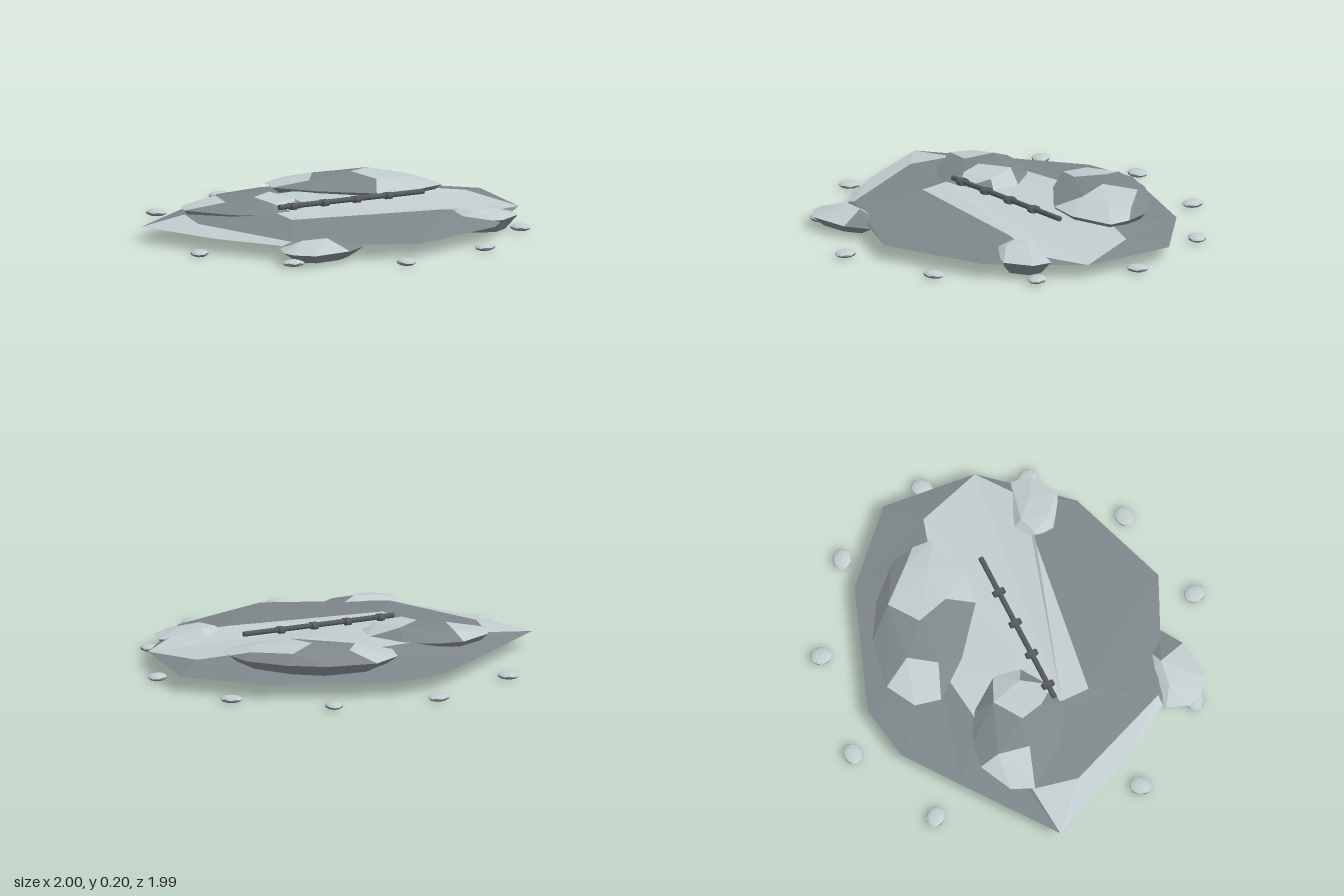
import * as THREE from 'three';
import { ConvexGeometry } from 'three/addons/geometries/ConvexGeometry.js';

function flat(name, color) {
  const material = new THREE.MeshStandardMaterial({ color });
  material.name = name;
  return material;
}
const stone = flat('dark stone', 0x7f878b);
const pale = flat('pale stone', 0xc2cdd0);
const iron = flat('dark iron', 0x565b5e);

// Is the point (x, z) inside the polygon?
function inside(x, z, polygon) {
  let hit = false;
  polygon.forEach(([ax, az], i) => {
    const [bx, bz] = polygon[(i + 1) % polygon.length];
    if (az > z !== bz > z && x < ax + ((bx - ax) * (z - az)) / (bz - az)) hit = !hit;
  });
  return hit;
}

// Gives each triangle of an unindexed geometry dark or pale stone by its centre and normal.
function paintFaces(geometry, isPale) {
  geometry.clearGroups();
  const p = geometry.attributes.position;
  const tri = new THREE.Triangle();
  const centre = new THREE.Vector3();
  const normal = new THREE.Vector3();
  for (let i = 0; i < p.count; i += 3) {
    tri.setFromAttributeAndIndices(p, i, i + 1, i + 2);
    tri.getMidpoint(centre);
    tri.getNormal(normal);
    geometry.addGroup(i, 3, isPale(centre, normal) ? 1 : 0);
  }
  return geometry;
}

// Faceted rock: an outline [x, z] at rim height, crown points [x, y, z], a shrunken base
// and the regions of its upper side that are pale.
function rock(name, outline, rimY, crown, baseY, baseScale, paleRegions) {
  const cx = outline.reduce((s, p) => s + p[0], 0) / outline.length;
  const cz = outline.reduce((s, p) => s + p[1], 0) / outline.length;
  const points = crown.map((p) => new THREE.Vector3(...p));
  for (const [x, z] of outline) {
    points.push(new THREE.Vector3(x, rimY, z));
    points.push(new THREE.Vector3(cx + (x - cx) * baseScale, baseY, cz + (z - cz) * baseScale));
  }
  const geometry = paintFaces(new ConvexGeometry(points),
    (c, n) => n.y > 0 && paleRegions.some((region) => inside(c.x, c.z, region)));
  const mesh = new THREE.Mesh(geometry, [stone, pale]);
  mesh.name = name;
  return mesh;
}

// Flat-shaded mesh from polygons, each cut into a fan from its first corner
function facets(name, polygons, material) {
  const corners = [];
  for (const polygon of polygons) {
    for (let i = 1; i < polygon.length - 1; i++) corners.push(...polygon[0], ...polygon[i], ...polygon[i + 1]);
  }
  const geometry = new THREE.BufferGeometry();
  geometry.setAttribute('position', new THREE.Float32BufferAttribute(corners, 3));
  geometry.computeVertexNormals();
  const mesh = new THREE.Mesh(geometry, material);
  mesh.name = name;
  return mesh;
}

// Broad slab: rim R, upper ridge points P, shrunken base B
function createSlab() {
  const R = [
    [0, -0.79], [-0.28, -0.745], [-0.56, -0.545], [-1, -0.225], [-0.82, 0.22], [-0.62, 0.53],
    [0, 0.815], [0.53, 0.63], [0.88, 0.24], [0.93, -0.24], [0.61, -0.56],
  ].map(([x, z]) => [x, 0.072, z]);
  const P = [
    [-0.74, 0.104, -0.25], [-0.79, 0.102, -0.02], [-0.57, 0.088, 0.53], [-0.4, 0.128, 0.23],
    [-0.4, 0.134, 0.08], [0.4, 0.121, 0.34], [0.65, 0.1, 0.4], [0.77, 0.104, -0.1],
    [0.6, 0.122, -0.15], [0.05, 0.132, -0.38], [-0.3, 0.128, -0.34],
  ];
  const B = R.map(([x, , z]) => [x * 0.6, 0.012, z * 0.6]);
  const slab = new THREE.Group();
  slab.name = 'slab';
  slab.add(facets('plateau', [[P[4], P[3], P[5], P[6], R[8], P[7], P[8], P[9], P[10]]], pale));
  slab.add(facets('rightBevel', [[R[3], R[4], P[1], P[0]], [R[4], R[5], P[2], P[1]]], pale));
  slab.add(facets('slopes', [
    [P[4], P[10], P[0], P[1], P[2], P[3]],
    [P[2], R[5], R[6]], [P[2], R[6], P[3]], [P[3], R[6], P[5]], [P[5], R[6], R[7], P[6]], [P[6], R[7], R[8]],
    [P[7], R[8], R[9]], [P[7], R[9], R[10], P[8]], [P[8], R[10], R[0], P[9]],
    [P[9], R[0], R[1]], [P[9], R[1], R[2], P[10]], [P[10], R[2], R[3], P[0]],
  ], stone));
  const sides = R.map((r, i) => {
    const next = (i + 1) % R.length;
    return [B[i], B[next], R[next], r];
  });
  slab.add(facets('underside', [...sides, [...B].reverse()], stone));
  return slab;
}

export function createModel() {
  const model = new THREE.Group();
  model.name = 'rockPlatform';
  model.add(createSlab());

  // Two boulders lying on the slab
  model.add(rock('largeBoulder', [
    [-0.13, -0.45], [-0.1, -0.58], [0.05, -0.66], [0.3, -0.615], [0.47, -0.51], [0.62, -0.35],
    [0.65, -0.22], [0.64, -0.11], [0.42, -0.045], [0.25, -0.07], [0.02, -0.26],
  ], 0.142, [
    [0.13, 0.182, -0.51], [0.04, 0.174, -0.38], [0.27, 0.2, -0.37], [0.42, 0.187, -0.47],
    [0.32, 0.186, -0.2], [0.5, 0.178, -0.21], [0.57, 0.17, -0.3],
  ], 0.06, 0.75, [
    [[-0.14, -0.45], [-0.1, -0.6], [0.05, -0.67], [0.14, -0.51], [0.04, -0.37]],
    [[0.26, -0.37], [0.42, -0.48], [0.57, -0.34], [0.66, -0.22], [0.65, -0.1], [0.42, -0.03], [0.3, -0.1]],
  ]));
  model.add(rock('smallBoulder', [
    [-0.75, -0.24], [-0.7, -0.35], [-0.53, -0.43], [-0.4, -0.41], [-0.25, -0.33],
    [-0.12, -0.16], [-0.15, -0.02], [-0.3, 0.08], [-0.43, 0.1], [-0.6, -0.03],
  ], 0.126, [
    [-0.52, 0.164, -0.33], [-0.55, 0.16, -0.17], [-0.41, 0.178, -0.14], [-0.27, 0.176, -0.23],
    [-0.22, 0.165, -0.06], [-0.38, 0.168, -0.02],
  ], 0.05, 0.75, [
    [[-0.76, -0.24], [-0.7, -0.37], [-0.53, -0.44], [-0.51, -0.33], [-0.55, -0.16]],
    [[-0.42, -0.14], [-0.27, -0.24], [-0.11, -0.16], [-0.15, -0.03], [-0.3, 0.02], [-0.38, -0.03]],
  ]));

  // Rocks jutting out through the rim
  model.add(rock('frontRightRock', [
    [-0.64, 0.54], [-0.68, 0.65], [-0.66, 0.72], [-0.58, 0.79], [-0.37, 0.765], [-0.25, 0.69],
    [-0.3, 0.58], [-0.45, 0.53],
  ], 0.062, [[-0.55, 0.104, 0.6], [-0.42, 0.108, 0.62], [-0.5, 0.092, 0.69]], 0.016, 0.65,
  [[[-0.7, 0.5], [-0.36, 0.5], [-0.36, 0.8], [-0.7, 0.8]]]));
  model.add(rock('frontLeftRock', [
    [0.4, 0.33], [0.53, 0.27], [0.65, 0.32], [0.76, 0.38], [0.74, 0.48], [0.61, 0.56],
    [0.5, 0.51], [0.4, 0.46],
  ], 0.084, [[0.46, 0.125, 0.36], [0.55, 0.128, 0.33], [0.5, 0.124, 0.45], [0.64, 0.115, 0.42]], 0.016, 0.65,
  [[[0.3, 0.2], [0.8, 0.2], [0.8, 0.6], [0.3, 0.6]]]));

  // Ring of flattened pebbles on the ground, pale on top
  const spots = [
    [-0.15, -0.95], [0.38, -0.86], [0.79, -0.54], [0.95, -0.02], [0.76, 0.47],
    [0.37, 0.81], [-0.15, 0.94], [-0.65, 0.69], [-0.935, 0.25], [-0.63, -0.73],
  ];
  const pebbleGeometry = paintFaces(new THREE.IcosahedronGeometry(1, 1), (c) => c.y > 0);
  pebbleGeometry.computeVertexNormals();
  spots.forEach(([x, z], i) => {
    const pebble = new THREE.Mesh(pebbleGeometry, [stone, pale]);
    pebble.name = 'pebble' + (i + 1);
    pebble.position.set(x, 0.018, z);
    pebble.rotation.y = i * 1.3;
    pebble.scale.set(0.056, 0.018, 0.046);
    model.add(pebble);
  });

  // Iron rod with four flattened collars
  const rod = new THREE.Group();
  rod.name = 'rod';
  rod.position.set(0, 0.157, 0.055);
  const bar = new THREE.Mesh(new THREE.CylinderGeometry(0.0135, 0.0135, 0.82, 8).rotateZ(Math.PI / 2), iron);
  bar.name = 'bar';
  bar.position.x = 0.035;
  rod.add(bar);
  const collarGeometry = new THREE.CylinderGeometry(0.033, 0.033, 0.028, 8).rotateZ(Math.PI / 2).scale(1, 0.55, 1);
  for (let i = 0; i < 4; i++) {
    const collar = new THREE.Mesh(collarGeometry, iron);
    collar.name = 'collar' + (i + 1);
    collar.position.set(-0.3 + i * 0.181, -0.002, 0);
    rod.add(collar);
  }
  model.add(rod);
  return model;
}
